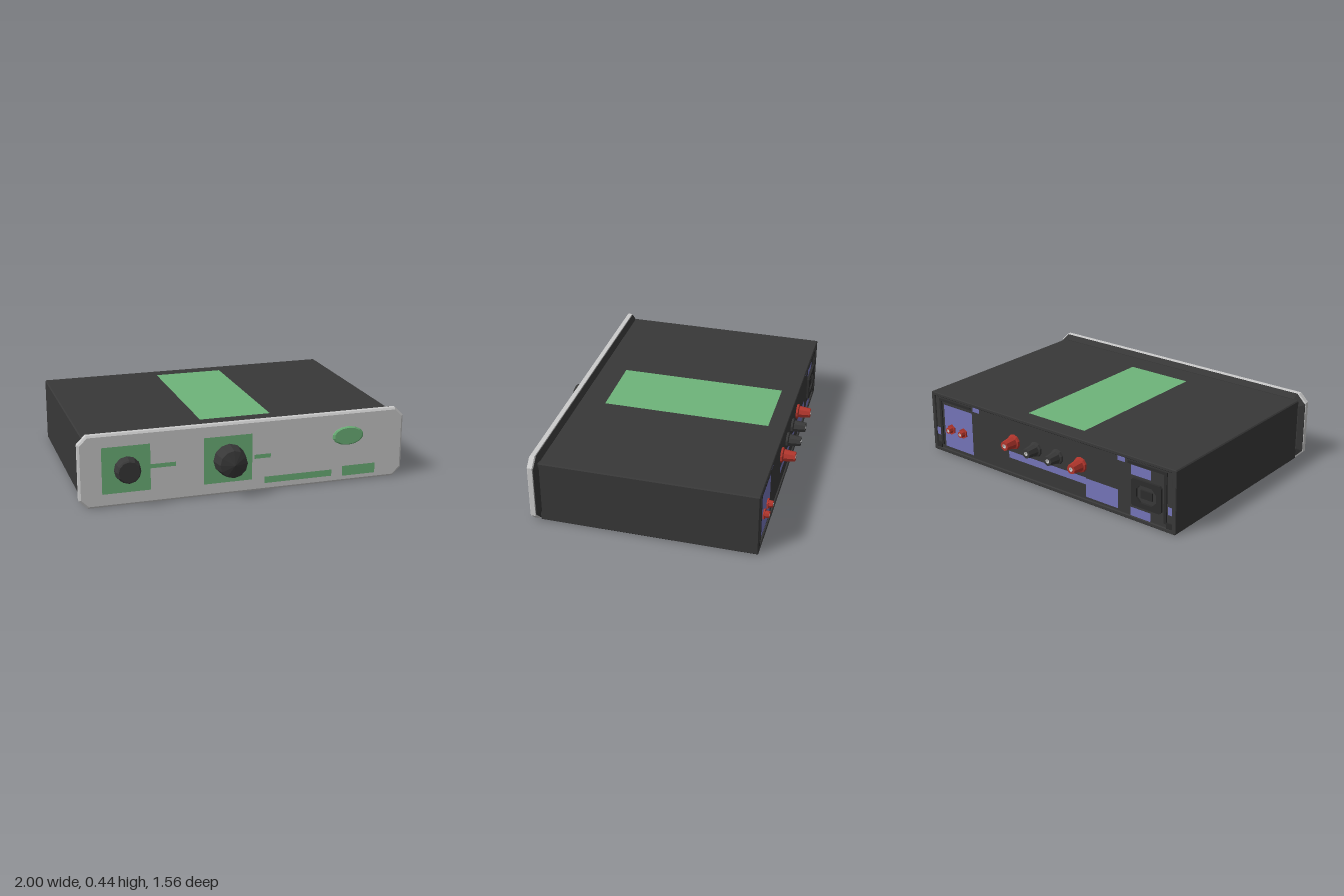
import * as THREE from 'three';

const mat = (color, side = THREE.FrontSide) =>
  new THREE.MeshStandardMaterial({ color, flatShading: true, side });
const GREY = mat(0xcccccc), BLACK = mat(0x383838), DARK = mat(0x2c2c2c), RED = mat(0xb0352c);
const GREEN = mat(0x6eb47a), BLUE = mat(0x7474b8);

const PANEL_Z = 0.66, BACK_Z = -0.69;

export function createModel() {
  const model = new THREE.Group();

  const add = (name, geometry, material, x = 0, y = 0, z = 0, parent = model) => {
    const mesh = new THREE.Mesh(geometry, material);
    mesh.name = name;
    mesh.position.set(x, y, z);
    parent.add(mesh);
    return mesh;
  };
  const box = (name, material, x0, x1, y0, y1, z0, z1) =>
    add(name, new THREE.BoxGeometry(x1 - x0, y1 - y0, z1 - z0), material,
      (x0 + x1) / 2, (y0 + y1) / 2, (z0 + z1) / 2);

  // Closed polygon with corners cut by c
  const cutRect = (x0, x1, y0, y1, c, Type = THREE.Shape) => new Type([
    [x0 + c, y0], [x1 - c, y0], [x1, y0 + c], [x1, y1 - c],
    [x1 - c, y1], [x0 + c, y1], [x0, y1 - c], [x0, y0 + c],
  ].map(([x, y]) => new THREE.Vector2(x, y)));
  const extrude = (shape, depth, bevelSize = 0, bevelThickness = bevelSize) =>
    new THREE.ExtrudeGeometry(shape, {
      depth, bevelEnabled: bevelSize > 0, bevelSize, bevelThickness, bevelSegments: 1,
    });

  // Turned part along +z (dir 1) or -z (dir -1), profile of [radius, distance]
  const turned = (name, profile, sides, material, x, y, z, dir, parent) => {
    const geometry = new THREE.LatheGeometry(profile.map(([r, d]) => new THREE.Vector2(r, d)), sides);
    const mesh = add(name, geometry, material, x, y, z, parent);
    mesh.rotation.x = dir * Math.PI / 2;
    return mesh;
  };

  // Case: sleeve open at the rear, with a recessed rear panel
  const sleeve = cutRect(-0.955, 0.955, 0.005, 0.395, 0.004);
  sleeve.holes.push(cutRect(-0.935, 0.935, 0.022, 0.38, 0.004, THREE.Path));
  add('caseSleeve', extrude(sleeve, 1.3, 0.004), BLACK, 0, 0, -0.696);
  box('rearPanel', BLACK, -0.94, 0.94, 0.015, 0.385, BACK_Z, BACK_Z + 0.02);

  // Front panel with cut corners, and the dark tapered frame behind it
  add('frontPanel', extrude(cutRect(-0.988, 0.988, 0.012, 0.425, 0.045), 0.027, 0.012, 0.008),
    GREY, 0, 0, PANEL_Z - 0.035);
  add('panelBackFrame', extrude(cutRect(-0.965, 0.965, 0.035, 0.402, 0.04), 0.004, 0.033, 0.018),
    BLACK, 0, 0, 0.617);

  // Knobs
  turned('selectorKnob', [[0.078, 0], [0.078, 0.012], [0.07, 0.056], [0.062, 0.064], [0, 0.064]],
    12, BLACK, -0.717, 0.22, PANEL_Z, 1);
  turned('volumeKnob', [[0.097, 0], [0.095, 0.025], [0.083, 0.096], [0.0, 0.118]],
    12, BLACK, -0.107, 0.215, PANEL_Z, 1);

  // Oval badge plate
  const badge = turned('ovalPlate', [[1, 0], [1, 0.006], [0.88, 0.012], [0, 0.012]],
    14, GREEN, 0.64, 0.29, PANEL_Z, 1);
  badge.scale.set(0.1, 1, 0.058);

  // Flat printed areas: x0, x1, y0, y1
  const decal = (name, [x0, x1, y0, y1], material, z, back) => {
    const mesh = add(name, new THREE.PlaneGeometry(x1 - x0, y1 - y0), material,
      (x0 + x1) / 2, (y0 + y1) / 2, z);
    if (back) mesh.rotation.y = Math.PI;
  };
  [
    [-0.865, -0.58, 0.08, 0.36], [-0.26, 0.035, 0.075, 0.36],
    [-0.58, -0.43, 0.21, 0.235], [0.05, 0.15, 0.202, 0.227],
    [0.113, 0.54, 0.043, 0.083], [0.61, 0.823, 0.035, 0.098],
  ].forEach((r) => decal('frontLabel', r, GREEN, PANEL_Z + 0.002));
  [
    [0.61, 0.857, 0.045, 0.33], [-0.31, 0.3, 0.12, 0.165], [-0.55, -0.31, 0.04, 0.16],
    [-0.78, -0.64, 0.285, 0.345], [-0.78, -0.64, 0.025, 0.08],
    [0.545, 0.6, 0.345, 0.378], [-0.6, -0.545, 0.345, 0.378],
    [0.9, 0.934, 0.11, 0.16], [-0.934, -0.9, 0.11, 0.16],
  ].forEach((r) => decal('rearLabel', r, BLUE, BACK_Z - 0.003, true));
  const topLabel = add('topLabel', new THREE.PlaneGeometry(0.44, 1.034), GREEN, 0, 0.402, -0.077);
  topLabel.rotation.x = -Math.PI / 2;

  // Speaker binding posts
  [[-0.27, RED], [-0.09, BLACK], [0.08, BLACK], [0.257, RED]].forEach(([x, material]) => {
    const post = new THREE.Group();
    post.name = 'bindingPost';
    post.position.set(x, 0.235, BACK_Z);
    model.add(post);
    turned('postBase', [[0.048, 0], [0.046, 0.012], [0.03, 0.02], [0, 0.02]], 10, material, 0, 0, 0, -1, post);
    turned('postCap', [[0.038, 0.018], [0.03, 0.088], [0.014, 0.088]], 8, material, 0, 0, 0, -1, post);
    turned('postSocket', [[0.014, 0.089], [0.009, 0.089], [0.009, 0.06], [0, 0.06]], 8, GREY, 0, 0, 0, -1, post);
  });

  // Input jacks
  for (const x of [0.69, 0.795]) {
    turned('jackNut', [[0.034, 0], [0.034, 0.012], [0, 0.012]], 6, RED, x, 0.175, BACK_Z, -1);
    turned('jackBarrel', [[0.022, 0.01], [0.02, 0.038], [0.011, 0.038]], 8, RED, x, 0.175, BACK_Z, -1);
    turned('jackContact', [[0.011, 0.039], [0.006, 0.039], [0.006, 0.02], [0, 0.02]], 8, GREY, x, 0.175, BACK_Z, -1);
  }

  // Mains inlet: flange, socket rim and inner pin block
  const rim = cutRect(-0.86, -0.65, 0.1, 0.27, 0.012);
  rim.holes.push(cutRect(-0.825, -0.685, 0.13, 0.24, 0.03, THREE.Path));
  add('inletRim', extrude(rim, 0.014), DARK, 0, 0, BACK_Z - 0.014);
  box('inletPinBlock', DARK, -0.795, -0.715, 0.16, 0.21, BACK_Z - 0.01, BACK_Z + 0.005);

  // Rear edge brackets on both sides
  for (const s of [-1, 1]) {
    const span = (a, b) => (s > 0 ? [a, b] : [-b, -a]);
    box('rearSideBracket', DARK, ...span(0.875, 0.893), 0.05, 0.35, BACK_Z - 0.008, BACK_Z);
    box('rearTopBracket', DARK, ...span(0.62, 0.893), 0.35, 0.366, BACK_Z - 0.008, BACK_Z);
    box('rearFootBracket', DARK, ...span(0.893, 0.94), 0.02, 0.06, BACK_Z - 0.008, BACK_Z);
  }
  return model;
}
